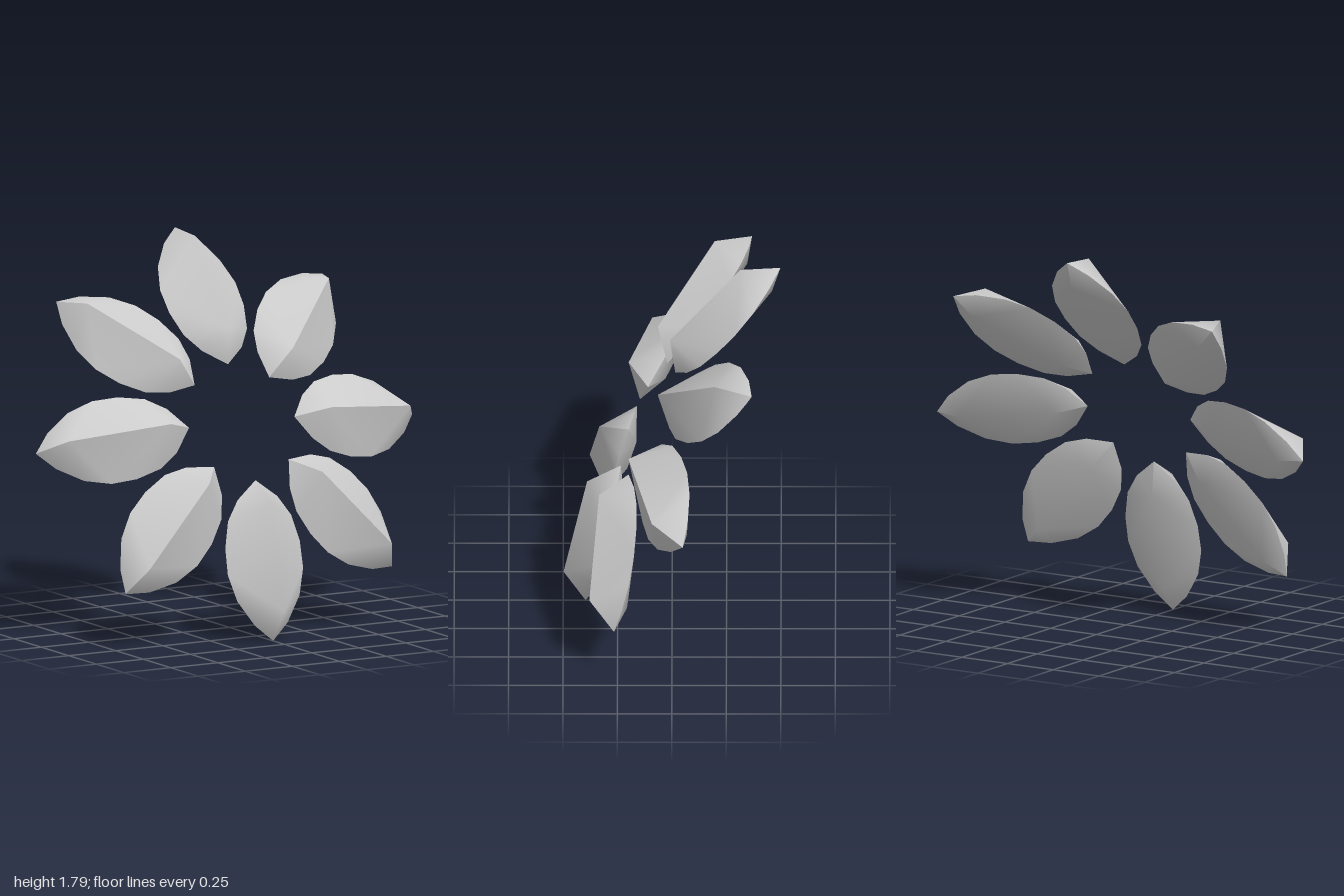
import * as THREE from 'three';
import { mergeGeometries } from 'three/addons/utils/BufferGeometryUtils.js';

// Half outline of a petal from inner to outer tip: [distance from ring centre, half width]
const OUTLINE = [[0.28, 0], [0.36, 0.105], [0.45, 0.168], [0.57, 0.198],
  [0.69, 0.2], [0.81, 0.165], [0.925, 0.087], [1, 0]];

// The rim lies in a plane sloping down to the outer tip
const rimHeight = (u) => 0.25 * (1 - u);

// One surface of the petal: outline halves (sides: 1 and/or -1) joined to a two-point ridge
function petalSurface(sides, ridge, offset, back) {
  const positions = [];
  const indices = [];
  for (const u of ridge) positions.push(0, u, rimHeight(u) + offset);
  for (const side of sides) {
    const start = positions.length / 3;
    for (const [u, v] of OUTLINE) positions.push(side * v, u, rimHeight(u));
    const flip = (side < 0) !== back;
    const tri = (a, b, c) => indices.push(...(flip ? [a, c, b] : [a, b, c]));
    for (let i = 0; i < OUTLINE.length - 1; i++) tri(i <= 3 ? 0 : 1, start + i, start + i + 1);
    tri(0, start + 4, 1);
  }
  const geometry = new THREE.BufferGeometry();
  geometry.setAttribute('position', new THREE.Float32BufferAttribute(positions, 3));
  geometry.setIndex(indices);
  geometry.computeVertexNormals();
  return geometry;
}

// Sharp ridge in front, shallow smooth swelling behind
function petalGeometry() {
  return mergeGeometries([
    petalSurface([1], [0.425, 0.908], 0.136, false),
    petalSurface([-1], [0.425, 0.908], 0.136, false),
    petalSurface([1, -1], [0.42, 0.87], -0.054, true),
  ]);
}

export function createModel() {
  const model = new THREE.Group();
  model.name = 'flower';

  // Ring of petals, leaning back
  const ring = new THREE.Group();
  ring.name = 'petalRing';
  ring.position.set(0, 0.895, -0.05);
  ring.rotation.x = -Math.atan(0.5);
  model.add(ring);

  const geometry = petalGeometry();
  const material = new THREE.MeshStandardMaterial({ color: 0xcccccc });
  for (let i = 0; i < 8; i++) {
    const petal = new THREE.Mesh(geometry, material);
    petal.name = `petal${i + 1}`;
    petal.rotation.z = (i * Math.PI) / 4;
    ring.add(petal);
  }
  return model;
}
